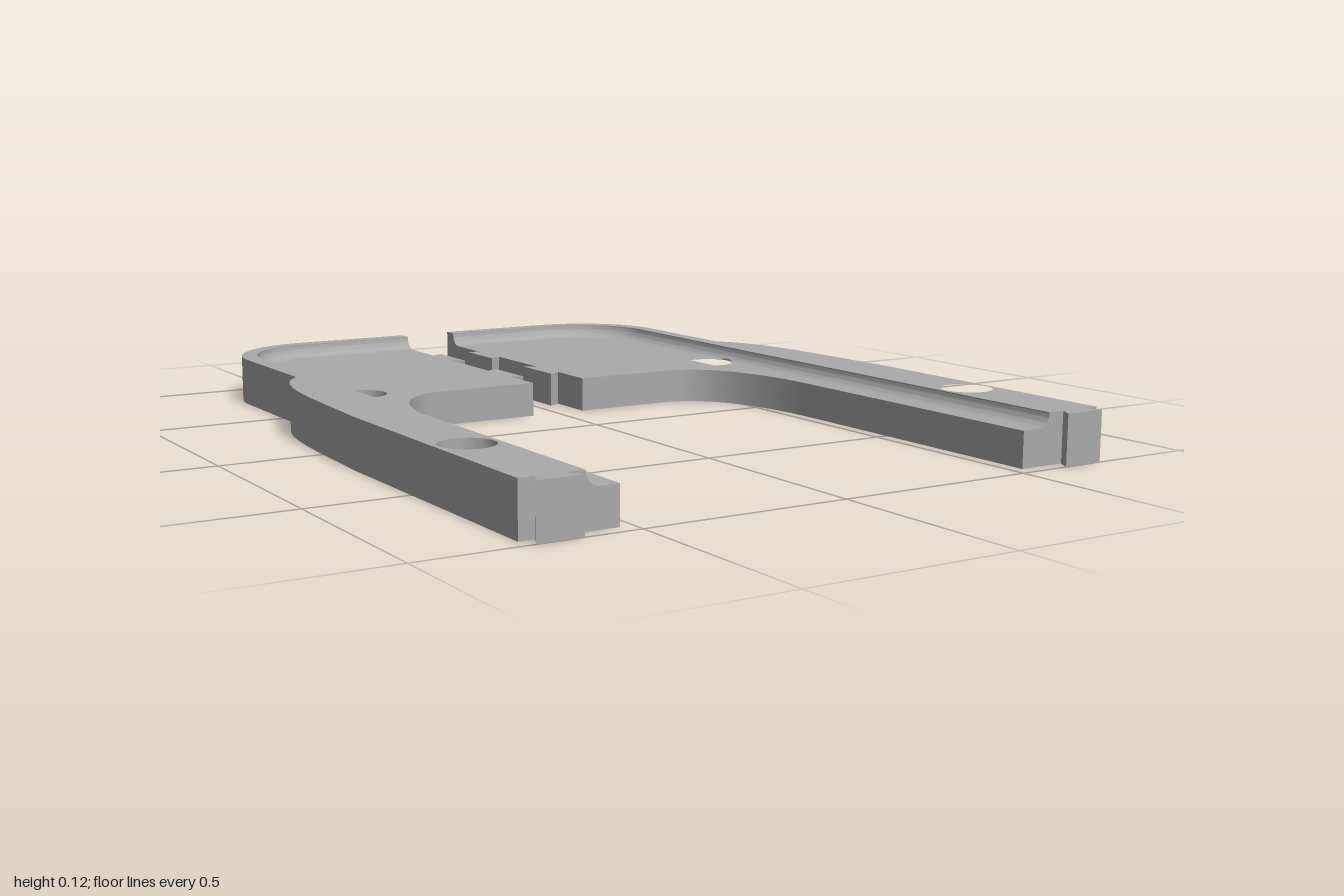
import * as THREE from 'three';
import { toCreasedNormals } from 'three/addons/utils/BufferGeometryUtils.js';

const LEDGE = 0.05, FLOOR = 0.087, TOP = 0.122;
const WALL_X = 0.608, WALL_Z = -0.96, WALL_R = 0.208, COVE_R = 0.032;
const SEAM = 0.075, END = 0.965;
const PLATE_HOLE = [0.53, -0.265], LEG_HOLE = [0.682, 0.615];
const BORE = 0.05, COUNTERBORE = 0.063;

const grey = new THREE.MeshStandardMaterial({ color: 0xaaaaaa });
grey.name = 'grey plastic';

// Outer edge from the back seam round to the dovetail at the leg end
function traceOuter(shape, s) {
  const line = (x, z) => shape.lineTo(s * x, -z);
  shape.moveTo(s * SEAM, 1);
  line(0.4, -1);
  for (let i = 1; i <= 20; i++) {
    const a = (i / 20) * Math.PI / 2;
    line(0.4 + 0.25 * Math.sin(a), -0.75 - 0.25 * Math.cos(a));
  }
  line(0.65, -0.4);
  shape.bezierCurveTo(s * 0.75, 0.3, s * 0.74, 0.05, s * 0.756, -0.2);
  line(0.756, END);
  line(0.718, END);
  line(0.737, 1);
  line(0.631, 1);
  line(0.651, END);
}

// Whole plan with inner curve and two dovetail tabs on the seam
function plateShape(s) {
  const shape = new THREE.Shape();
  traceOuter(shape, s);
  shape.lineTo(s * 0.531, -END);
  shape.lineTo(s * 0.531, -0.2);
  shape.bezierCurveTo(s * 0.531, 0.03, s * 0.47, 0.197, s * 0.33, 0.197);
  shape.lineTo(s * SEAM, 0.197);
  for (const z of [-0.387, -0.728]) {
    shape.lineTo(s * SEAM, -(z + 0.06));
    shape.lineTo(s * 0.043, -(z + 0.077));
    shape.lineTo(s * 0.043, -(z - 0.077));
    shape.lineTo(s * SEAM, -(z - 0.06));
  }
  shape.closePath();
  return shape;
}

// Inner wall line of the raised rim: points with inward normals
function wallPath() {
  const path = [{ x: SEAM, z: WALL_Z, nx: 0, nz: 1 }];
  const cx = WALL_X - WALL_R, cz = WALL_Z + WALL_R;
  for (let i = 0; i <= 20; i++) {
    const a = (i / 20) * Math.PI / 2, sn = Math.sin(a), c = Math.cos(a);
    path.push({ x: cx + WALL_R * sn, z: cz - WALL_R * c, nx: -sn, nz: c });
  }
  for (let i = 0; i <= 24; i++) {
    path.push({ x: WALL_X, z: PLATE_HOLE[1] - 0.07 + (i / 24) * 0.14, nx: -1, nz: 0 });
  }
  path.push({ x: WALL_X, z: END, nx: -1, nz: 0 });
  return path;
}

function rimShape(s) {
  const shape = new THREE.Shape();
  traceOuter(shape, s);
  for (const p of wallPath().reverse()) shape.lineTo(s * p.x, -p.z);
  shape.closePath();
  return shape;
}

function slab(shape, s, y0, y1, holes, radius) {
  for (const [x, z] of holes) {
    shape.holes.push(new THREE.Path().absarc(s * x, -z, radius, 0, Math.PI * 2, true));
  }
  const geo = new THREE.ExtrudeGeometry(shape, { depth: y1 - y0, bevelEnabled: false, curveSegments: 20 });
  geo.rotateX(-Math.PI / 2).translate(0, y0, 0);
  return toCreasedNormals(geo, 0.5);
}

// Concave fillet along the rim wall, cut back where it meets the plate hole
function coveGeometry(s) {
  const path = wallPath(), pos = [], idx = [], n = 8, row = n + 2;
  const tri = (a, b, c) => (s > 0 ? idx.push(a, b, c) : idx.push(a, c, b));
  for (const p of path) {
    for (let k = -1; k <= n; k++) {
      const a = (Math.max(k, 0) / n) * Math.PI / 2;
      let u = COVE_R * (1 - Math.sin(a));
      const dz = p.z - PLATE_HOLE[1];
      if (p.nx === -1 && Math.abs(dz) < COUNTERBORE) {
        const edge = PLATE_HOLE[0] + Math.sqrt(COUNTERBORE ** 2 - dz * dz);
        u = Math.min(u, WALL_X - edge);
      }
      const d = COVE_R - u;
      const y = k < 0 ? FLOOR : FLOOR + COVE_R - Math.sqrt(Math.max(0, COVE_R ** 2 - d * d));
      pos.push(s * (p.x + p.nx * u), y, p.z + p.nz * u);
    }
  }
  const last = path.length - 1;
  for (let i = 0; i < last; i++) {
    for (let k = 0; k < row - 1; k++) {
      const a = i * row + k, b = a + row;
      tri(a, b, b + 1);
      tri(a, b + 1, a + 1);
    }
  }
  // End caps
  const c0 = pos.length / 3;
  for (const p of [path[0], path[last]]) pos.push(s * p.x, FLOOR, p.z);
  for (let k = 1; k < row - 1; k++) {
    tri(c0, k, k + 1);
    tri(c0 + 1, last * row + k + 1, last * row + k);
  }
  const geo = new THREE.BufferGeometry();
  geo.setAttribute('position', new THREE.Float32BufferAttribute(pos, 3));
  geo.setIndex(idx);
  return toCreasedNormals(geo, 0.5);
}

function half(s) {
  const group = new THREE.Group();
  group.name = s > 0 ? 'leftHalf' : 'rightHalf';
  const add = (name, geo) => {
    const mesh = new THREE.Mesh(geo, grey);
    mesh.name = name;
    group.add(mesh);
  };
  const both = [PLATE_HOLE, LEG_HOLE];
  add('basePlate', slab(plateShape(s), s, 0, LEDGE, both, BORE));
  add('floorPlate', slab(plateShape(s), s, LEDGE, FLOOR, both, COUNTERBORE));
  add('raisedRim', slab(rimShape(s), s, FLOOR, TOP, [LEG_HOLE], COUNTERBORE));
  add('rimCove', coveGeometry(s));
  return group;
}

export function createModel() {
  const model = new THREE.Group();
  model.name = 'splitFrame';
  model.add(half(1), half(-1));
  return model;
}
